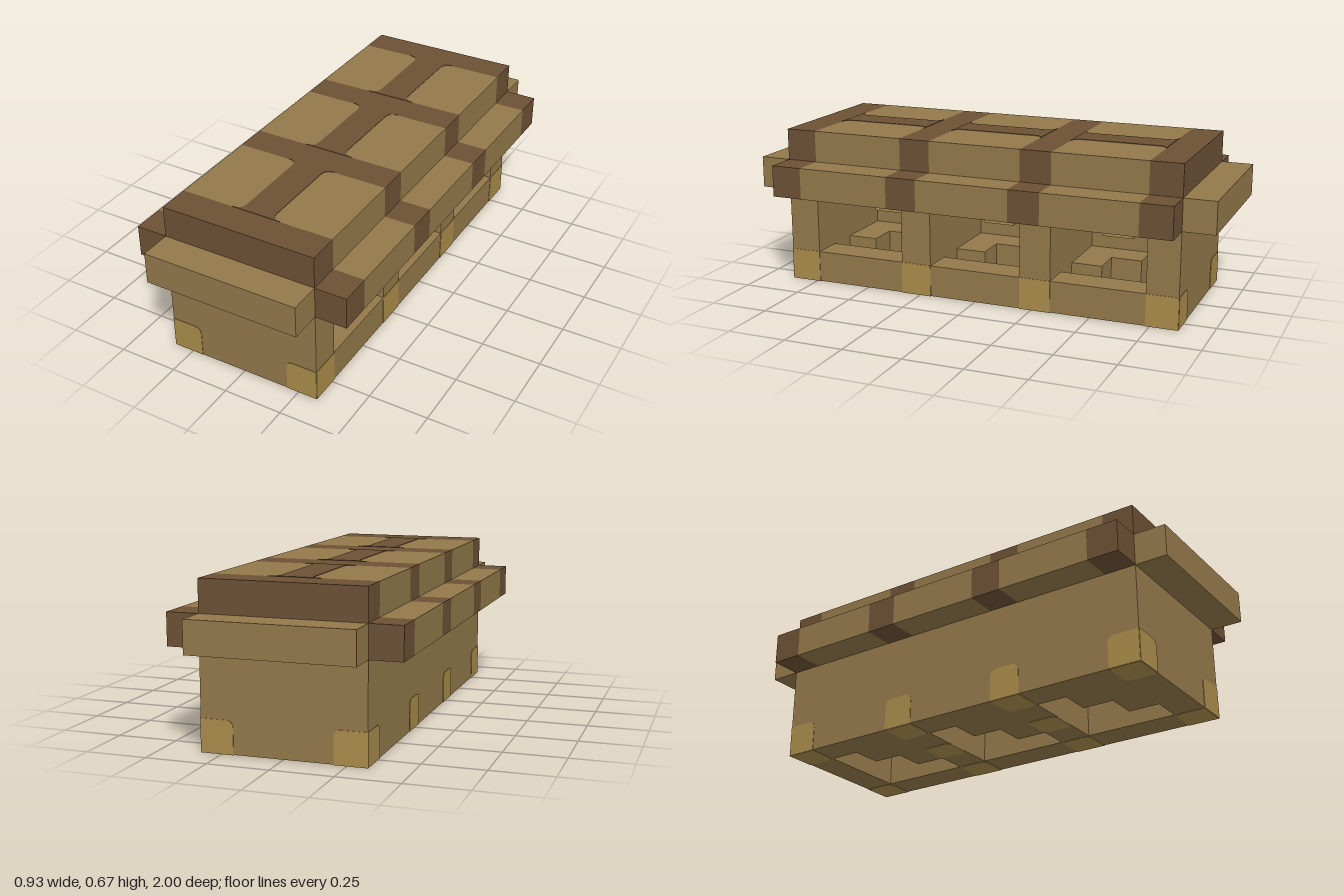
import * as THREE from 'three';

const U = 2 / 15; // one block
const mat = (name, color) => {
  const m = new THREE.MeshStandardMaterial({ color });
  m.name = name;
  return m;
};

export function createModel() {
  const root = new THREE.Group();
  const tan = mat('tan', 0x92784a);
  const brown = mat('darkBrown', 0x6c5034);
  const gold = mat('gold', 0xa98b4a);

  // Box given by its limits, counted in blocks
  function box(name, m, x0, x1, y0, y1, z0, z1) {
    const g = new THREE.BoxGeometry((x1 - x0) * U, (y1 - y0) * U, (z1 - z0) * U);
    const mesh = new THREE.Mesh(g, m);
    mesh.position.set((x0 + x1) / 2 * U, (y0 + y1) / 2 * U, (z0 + z1) / 2 * U);
    mesh.name = name;
    root.add(mesh);
  }

  // Thin patch, one block wide, with chosen rounded corners: bl, br, tr, tl
  function patch(name, corners, position, rotation) {
    const h = U / 2;
    const s = new THREE.Shape();
    [[-1, -1, 0, 1], [1, -1, -1, 0], [1, 1, 0, -1], [-1, 1, 1, 0]].forEach(([cx, cy, ox, oy], i) => {
      const r = corners[i] ? 0.03 : 0;
      // start on the incoming edge, leave along the next one
      const inX = cx * h + ox * r, inY = cy * h + oy * r;
      const outX = cx * h + (ox ? 0 : -cx * r), outY = cy * h + (oy ? 0 : -cy * r);
      if (i === 0) s.moveTo(inX, inY); else s.lineTo(inX, inY);
      if (r) s.quadraticCurveTo(cx * h, cy * h, outX, outY);
    });
    s.closePath();
    const g = new THREE.ExtrudeGeometry(s, { depth: 0.002, bevelEnabled: false, curveSegments: 4 });
    const mesh = new THREE.Mesh(g, gold);
    mesh.position.set(position[0], position[1], position[2]);
    mesh.rotation.set(rotation[0], rotation[1], rotation[2]);
    mesh.name = name;
    root.add(mesh);
  }

  // Body: closed left-hand wall, core under the lid, ledges on both ends
  box('backWall', tan, -2.5, -1.5, 0, 3, -6.5, 6.5);
  box('core', tan, -2.5, 2.5, 3, 4, -6.5, 6.5);
  box('frontLedge', tan, -2.5, 2.5, 3, 4, 6.5, 7.5);
  box('rearLedge', tan, -2.5, 2.5, 3, 4, -7.5, -6.5);

  // Partitions with dark bands over them
  for (const z of [-6, -2, 2, 6]) {
    box('partition', tan, -1.5, 2.5, 0, 3, z - 0.5, z + 0.5);
    box('lidBand', brown, -2.5, 2.5, 4, 5, z - 0.5, z + 0.5);
    for (const s of [-3, 3]) box('rimBand', brown, s - 0.5, s + 0.5, 3, 4, z - 0.5, z + 0.5);
  }

  // Flared centre stripe of one lid panel
  const w = 0.5 * U, r = 0.04, L = 1.5 * U;
  const stripe = new THREE.Shape();
  stripe.moveTo(-w - r, -L);
  stripe.lineTo(w + r, -L);
  stripe.quadraticCurveTo(w, -L, w, -L + r);
  stripe.lineTo(w, L - r);
  stripe.quadraticCurveTo(w, L, w + r, L);
  stripe.lineTo(-w - r, L);
  stripe.quadraticCurveTo(-w, L, -w, L - r);
  stripe.lineTo(-w, -L + r);
  stripe.quadraticCurveTo(-w, -L, -w - r, -L);
  const stripeGeo = new THREE.ExtrudeGeometry(stripe, { depth: 0.002, bevelEnabled: false, curveSegments: 4 });

  // Three bays: lid panel, rim, sill, stepped floor, hanging block
  for (const z of [-4, 0, 4]) {
    box('lidPanel', tan, -2.5, 2.5, 4, 5, z - 1.5, z + 1.5);
    for (const s of [-3, 3]) box('rimPanel', tan, s - 0.5, s + 0.5, 3, 4, z - 1.5, z + 1.5);
    box('windowSill', tan, 1.5, 2.5, 0, 1, z - 1.5, z + 1.5);
    box('floorStep', tan, -0.5, 0.5, 0, 1, z + 0.5, z + 1.5);
    box('floorStep', tan, -1.5, -0.5, 0, 1, z - 0.5, z + 1.5);
    box('hangingBlock', gold, -0.5, 0.5, 2, 3, z - 0.5, z + 0.5);
    const m = new THREE.Mesh(stripeGeo, brown);
    m.rotation.x = -Math.PI / 2;
    m.position.set(0, 5 * U, z * U);
    m.name = 'lidStripe';
    root.add(m);
  }

  // Gold feet on the ends, the sides and the underside
  const H = Math.PI / 2, y = U / 2;
  for (const s of [-1, 1]) {
    patch('frontFoot', [0, 0, s < 0, s > 0], [s * 2 * U, y, 6.5 * U], [0, 0, 0]);
    patch('rearFoot', [0, 0, s > 0, s < 0], [s * 2 * U, y, -6.5 * U], [0, Math.PI, 0]);
    for (const z of [-6, -2, 2, 6]) {
      const mid = Math.abs(z) < 3;
      const round = s > 0 ? [0, 0, 0, 0] : [0, 0, mid || z < 0, mid || z > 0];
      patch('sideFoot', round, [s * 2.5 * U, y, z * U], [0, s * H, 0]);
      // underside: local x is x, local y is z
      const inner = [
        s > 0 && (mid || z > 0), s < 0 && (mid || z > 0),
        s < 0 && (mid || z < 0), s > 0 && (mid || z < 0),
      ];
      patch('footSole', inner, [s * 2 * U, 0, z * U], [H, 0, 0]);
    }
  }
  for (const z of [-2, 2]) patch('middleSole', [1, 1, 1, 1], [0, 0, z * U], [H, 0, 0]);

  // Stand exactly on the ground
  root.children.forEach((c) => { c.position.y += 0.002; });
  return root;
}
